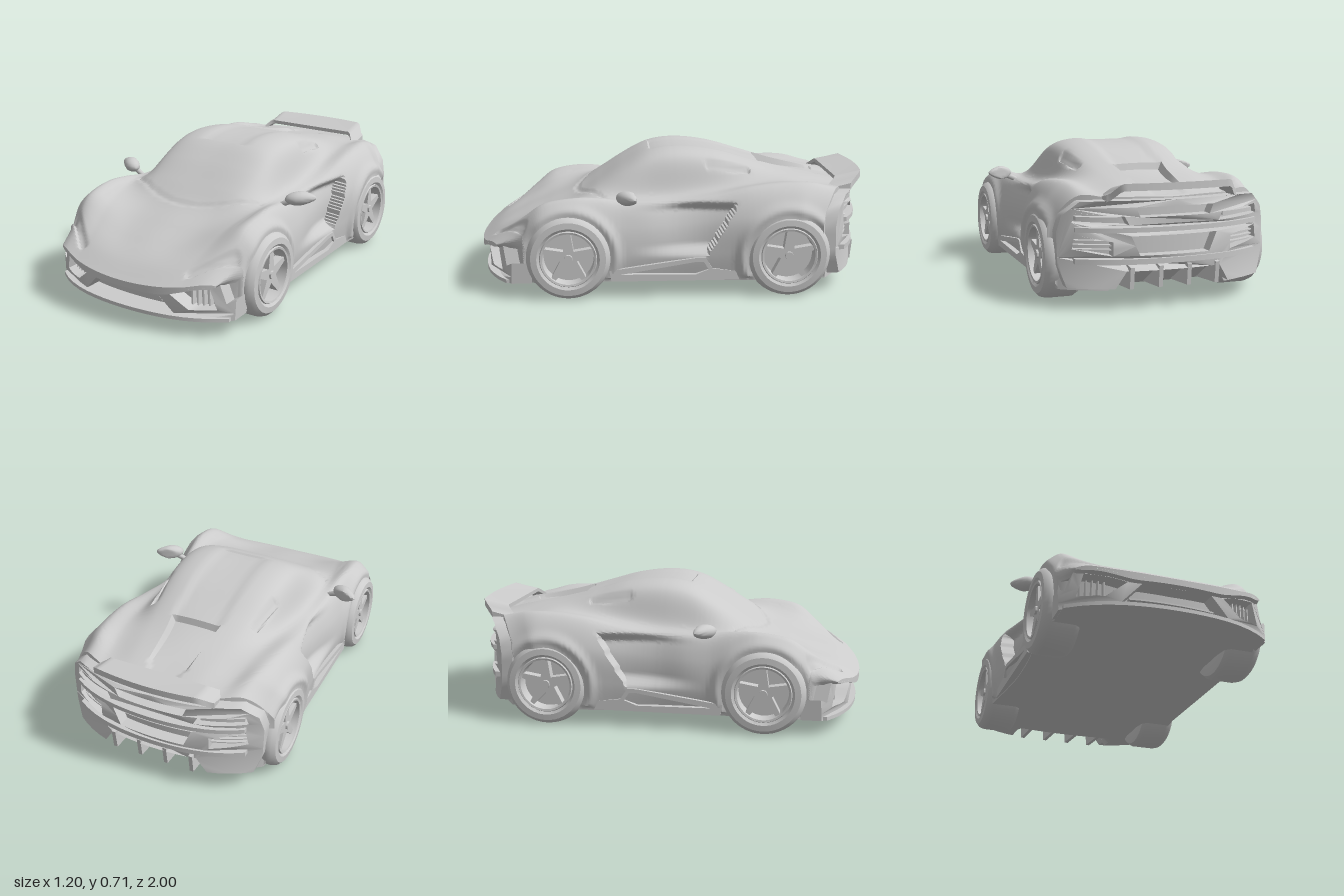
import * as THREE from 'three';
import { toCreasedNormals } from 'three/addons/utils/BufferGeometryUtils.js';

const V = (x, y, z) => new THREE.Vector3(x, y, z);
const ss = THREE.MathUtils.smoothstep;
const mat = new THREE.MeshStandardMaterial({ color: 0xcccccc });

function add(parent, name, geo, crease = 0.7) {
  const mesh = new THREE.Mesh(toCreasedNormals(geo, crease), mat);
  mesh.name = name;
  parent.add(mesh);
  return mesh;
}

// Joins closed rings of equal length into one surface
function skin(rings) {
  const n = rings[0].length, pos = [], idx = [];
  rings.forEach((ring, i) => ring.forEach((p, j) => {
    pos.push(p.x, p.y, p.z);
    if (i === rings.length - 1) return;
    const a = i * n + j, b = i * n + (j + 1) % n;
    idx.push(a, b, b + n, a, b + n, a + n);
  }));
  const geo = new THREE.BufferGeometry();
  geo.setAttribute('position', new THREE.Float32BufferAttribute(pos, 3));
  geo.setIndex(idx);
  return geo;
}

// Plan curvature of the nose and tail
const sweep = x => 0.35 * x * x + 0.9 * x ** 4;
function bend(geo, dir) {
  const p = geo.attributes.position;
  for (let i = 0; i < p.count; i++) p.setZ(i, p.getZ(i) - dir * sweep(p.getX(i)));
  return geo;
}

// z, low width, high width, shoulder x/y, cabin base x/y, roof edge x/y, top y
const STATIONS = [
  [-0.9, .52, .52, .42, .515, .3, .51, .17, .51, .505],
  [-0.75, .54, .54, .43, .55, .32, .53, .18, .545, .545],
  [-0.56, .55, .545, .45, .553, .34, .55, .2, .58, .595],
  [-0.38, .545, .54, .46, .535, .355, .54, .24, .62, .645],
  [-0.2, .525, .52, .46, .49, .365, .52, .27, .66, .69],
  [-0.02, .51, .5, .45, .46, .375, .5, .28, .675, .705],
  [0.12, .51, .5, .45, .46, .38, .49, .28, .655, .685],
  [0.25, .515, .5, .45, .465, .385, .485, .28, .595, .62],
  [0.38, .53, .52, .455, .49, .385, .48, .25, .525, .535],
  [0.5, .54, .535, .47, .495, .37, .465, .22, .455, .46],
  [0.65, .54, .535, .47, .47, .34, .43, .2, .4, .4],
  [0.78, .525, .525, .47, .415, .32, .375, .17, .35, .35],
  [0.9, .5, .5, .45, .34, .3, .315, .15, .3, .295],
  [1.0, .45, .46, .42, .272, .3, .25, .15, .235, .23],
];

function station(z) {
  const S = STATIONS, last = S.length - 1;
  let i = 0;
  while (i < last - 1 && z > S[i + 1][0]) i++;
  const h = S[i + 1][0] - S[i][0], t = (z - S[i][0]) / h;
  const slope = (k, c) => {
    const a = S[Math.max(k - 1, 0)], b = S[Math.min(k + 1, last)];
    return (b[c] - a[c]) / (b[0] - a[0]);
  };
  return S[i].map((v, c) => v * (1 + 2 * t) * (1 - t) ** 2 + S[i + 1][c] * t * t * (3 - 2 * t)
    + h * (slope(i, c) * t * (1 - t) ** 2 + slope(i + 1, c) * t * t * (t - 1)));
}

const WHEEL_Z = [0.53, -0.565];

// Strength 0..1 of a groove along a line in plan
function groove(x, z, x0, z0, x1, z1, width) {
  const dx = x1 - x0, dz = z1 - z0;
  const t = THREE.MathUtils.clamp(((x - x0) * dx + (z - z0) * dz) / (dx * dx + dz * dz), 0, 1);
  return 1 - ss(Math.hypot(x - x0 - t * dx, z - z0 - t * dz), width * 0.4, width);
}

// Carves arches, door scoops, deck channel and panel grooves into the skin
function carve(p) {
  const side = Math.sign(p.x);
  let x = Math.abs(p.x);
  const { y, z } = p;
  if (x > 0.4 && y < 0.5) {
    const edge = -0.19 - (y - 0.27) * 0.6;
    if (z > edge) x -= 0.07 * (1 - ss(z, -0.2, 0.25)) * ss(y, 0.2, 0.26) * (1 - ss(y, 0.42, 0.48));
    for (const wz of WHEEL_Z) {
      const d = Math.hypot(y - 0.21, z - wz);
      if (d < 0.175) x = Math.min(x, 0.42);
      else if (y > 0.1) x += 0.016 * Math.exp(-(((d - 0.235) / 0.025) ** 2));
    }
  }
  if (y > 0.25) {
    if (z < -0.47 && z > -0.87 && x < 0.115 + (z + 0.47) * 0.08) p.y -= 0.04 * (1 - ss(-z, 0.47, 0.95));
    else if (z >= -0.47 && z < 0.12) p.y -= 0.01 * (1 - ss(x, 0.11, 0.14));
    p.y -= 0.018 * groove(x, z, 0.32, 0.89, 0.48, 0.75, 0.025);
    p.y -= 0.02 * groove(x, z, 0.3, -0.18, 0.28, -0.38, 0.02);
    if (x < 0.38 && Math.abs(z - 0.5 + x * x) < 0.012) p.y -= 0.006;
  }
  p.x = side * x;
  return p;
}

function bodyRing(z) {
  const [, wl, wh, ws, ys, wc, yc, wr, yr, yt] = station(z);
  const beak = z > 0.885;
  const yb = beak ? 0.25 : 0.08;
  const mix = t => yb + (ys - yb) * t;
  const half = [[wl - 0.02, yb], [wl, mix(0.35)], [wh, mix(0.72)], [ws, ys], [wc, yc], [wr, yr]];
  const pts = [...half, [0, yt], ...half.map(([x, y]) => [-x, y]).reverse()].map(([x, y]) => V(x, y, 0));
  const ring = new THREE.CatmullRomCurve3(pts).getPoints(144);
  const w = wl - 0.02;
  for (let k = 1; k < 24; k++) {
    const x = w * (k / 12 - 1), a = Math.abs(x);
    const y = beak ? 0.2 + 0.05 * ss(a, 0.18, 0.43)
      : 0.08 + Math.max(0, -0.75 - z) * 0.6 * (1 - ss(a, 0.24, 0.28));
    ring.push(V(x, y, 0));
  }
  const curve = ss(z, 0.6, 0.95) - ss(-z, 0.55, 0.9);
  return ring.map(p => carve(V(p.x, p.y, z - curve * sweep(p.x))));
}

function buildBody(car) {
  const rings = [];
  for (let i = 0; i <= 190; i++) rings.push(bodyRing(-0.9 + i * 0.01));
  rings.unshift(rings[0].map(p => V(p.x, 0.3, p.z)));
  rings.push(rings[190 + 1].map(p => V(p.x, 0.218 + 0.04 * ss(Math.abs(p.x), 0.18, 0.43), p.z)));
  add(car, 'body', skin(rings), 0.75);
}

// Outline helpers: mirror a half outline, flip a side outline, add points along edges
const mirrorHalf = half => [...half, ...half.filter(p => p[0] > 0).map(([x, y]) => [-x, y]).reverse()];
const flip = pts => pts.map(([x, y]) => [-x, y]).reverse();
const dense = pts => pts.flatMap(([x, y], i) => {
  const [u, v] = pts[(i + 1) % pts.length];
  const n = Math.max(1, Math.ceil(Math.hypot(u - x, v - y) / 0.05));
  return Array.from({ length: n }, (_, k) => new THREE.Vector2(x + (u - x) * k / n, y + (v - y) * k / n));
});

function plate(outline, holes, depth) {
  const shape = new THREE.Shape(dense(outline));
  holes.forEach(h => shape.holes.push(new THREE.Path(dense(h))));
  return new THREE.ExtrudeGeometry(shape, { depth, bevelEnabled: false });
}

function bentBar(car, name, w, h, d, x, y, z, dir) {
  add(car, name, bend(new THREE.BoxGeometry(w, h, d, 16, 1, 1).translate(x, y, z), dir));
}

function buildFront(car) {
  const outline = mirrorHalf([[0, .08], [.515, .08], [.52, .185], [.485, .165], [.46, .265],
    [.42, .262], [.3, .238], [.2, .218], [0, .212]]);
  const grille = mirrorHalf([[0, .105], [.26, .105], [.17, .2], [0, .196]]);
  const intake = [[.33, .13], [.45, .135], [.42, .247], [.3, .222], [.235, .203]];
  add(car, 'frontBumper', bend(plate(outline, [grille, intake, flip(intake)], 0.1).translate(0, 0, 0.87), 1));
  bentBar(car, 'splitter', 1.0, 0.018, 0.1, 0, 0.088, 0.935, 1);
  bentBar(car, 'grilleSlat', 0.42, 0.008, 0.02, 0, 0.15, 0.9, 1);
  for (const s of [1, -1]) for (let i = 0; i < 5; i++)
    bentBar(car, 'intakeFin', 0.006, 0.1, 0.04, s * (0.32 + i * 0.025), 0.185, 0.9, 1);
}

function buildRear(car) {
  const outline = mirrorHalf([[0, .18], [.23, .18], [.28, .1], [.48, .1], [.515, .2], [.52, .35],
    [.5, .43], [.43, .495], [.3, .502], [0, .5]]);
  const slot = mirrorHalf([[0, .425], [.17, .425], [.19, .47], [0, .47]]);
  const lamp = [[.22, .39], [.46, .4], [.45, .445], [.24, .43]];
  const vent = [[.29, .25], [.46, .28], [.45, .345], [.29, .315]];
  const plateRecess = mirrorHalf([[0, .25], [.17, .25], [.21, .34], [0, .34]]);
  const geo = plate(outline, [slot, lamp, flip(lamp), vent, flip(vent), plateRecess], 0.07);
  add(car, 'rearBumper', bend(geo.translate(0, 0, -0.96), -1));
  bentBar(car, 'rearLedge', 0.9, 0.022, 0.06, 0, 0.37, -0.945, -1);
  bentBar(car, 'lowerLedge', 0.9, 0.025, 0.06, 0, 0.225, -0.94, -1);
  for (const s of [1, -1]) {
    bentBar(car, 'tailLight', 0.19, 0.018, 0.04, s * 0.345, 0.417, -0.925, -1);
    for (let i = 0; i < 3; i++) bentBar(car, 'ventSlat', 0.16, 0.006, 0.03, s * 0.37, 0.275 + i * 0.02, -0.92, -1);
  }
  // Diffuser fins: z/y wedge turned to run lengthwise
  const fin = [[-0.75, .085], [-0.76, .12], [-0.9, .21], [-0.96, .2], [-0.95, .1]];
  for (const x of [-0.21, -0.07, 0.07, 0.21])
    add(car, 'diffuserFin', plate(fin, [], 0.02).rotateY(-Math.PI / 2).translate(x + 0.01, 0, 0));
}

function buildSpoiler(car) {
  const rings = [];
  for (let i = 0; i <= 40; i++) {
    const x = -0.32 + i * 0.016, e = Math.abs(x) / 0.32, k = ss(e, 0.8, 1);
    const zf = -0.845 + 0.06 * k, zr = -1 + 0.035 * e * e + 0.05 * k, drop = 0.055 * k;
    rings.push([V(x, .583 - drop, zr), V(x, .568 - drop, (zf + zr) / 2), V(x, .555 - drop, zf),
      V(x, .535 - drop, zf), V(x, .54 - drop, (zf + zr) / 2), V(x, .55 - drop, zr)]);
  }
  const cap = ring => ring.map(() => ring.reduce((s, p) => s.add(p), V(0, 0, 0)).divideScalar(6));
  add(car, 'spoiler', skin([cap(rings[0]), ...rings, cap(rings[40])]));
}

function buildWheel(name) {
  const wheel = new THREE.Group();
  wheel.name = name;
  const profile = [[0, -.09], [.15, -.1], [.195, -.09], [.21, -.065], [.21, .055], [.203, .08], [.185, .097],
    [.155, .1], [.142, .09], [.138, .097], [.128, .095], [.124, .03], [0, .03]];
  const tyre = new THREE.LatheGeometry(profile.map(p => new THREE.Vector2(...p)), 48);
  add(wheel, 'tyreAndRim', tyre.rotateZ(-Math.PI / 2), 0.6);
  const spoke = [[-.03, 0], [.03, 0], [.026, .035], [.012, .127], [-.012, .127], [-.026, .035]];
  for (let i = 0; i < 5; i++)
    add(wheel, 'spoke', plate(spoke, [], 0.045).rotateZ(i * Math.PI * 0.4).rotateY(Math.PI / 2).translate(0.035, 0, 0));
  add(wheel, 'hub', new THREE.CylinderGeometry(0.02, 0.026, 0.06, 20).rotateZ(-Math.PI / 2).translate(0.06, 0, 0));
  return wheel;
}

// Skirt and mirror for the left side; the right side is flipped
function buildSide(car, s) {
  const side = new THREE.Group();
  side.name = s > 0 ? 'leftSide' : 'rightSide';
  side.scale.x = s;
  const skirt = [[.32, .085], [.33, .14], [-.1, .2], [-.15, .2], [-.185, .145], [-.3, .13], [-.32, .085]];
  const recess = [[.27, .12], [-.1, .18], [-.14, .18], [-.165, .14], [-.1, .115]];
  add(side, 'sideSkirt', plate(skirt, [recess], 0.045).rotateY(-Math.PI / 2).translate(0.525, 0, 0));
  const shell = new THREE.SphereGeometry(1, 16, 10);
  const p = shell.attributes.position;
  for (let i = 0; i < p.count; i++) {
    const x = p.getX(i), taper = 1 - 0.35 * Math.max(0, x);
    p.setXYZ(i, 0.53 + 0.07 * x, 0.507 + 0.036 * p.getY(i) * taper + 0.004 * x,
      0.235 - 0.03 * x + 0.05 * Math.max(p.getZ(i), -0.6) * taper);
  }
  add(side, 'mirrorShell', shell, 0.8);
  const stalk = new THREE.CatmullRomCurve3([V(0.42, 0.455, 0.26), V(0.455, 0.475, 0.255), V(0.5, 0.495, 0.245)]);
  add(side, 'mirrorStalk', new THREE.TubeGeometry(stalk, 8, 0.014, 8), 0.9);
  car.add(side);
}

export function createModel() {
  const car = new THREE.Group();
  car.name = 'sportsCar';
  buildBody(car);
  buildFront(car);
  buildRear(car);
  buildSpoiler(car);
  for (const s of [1, -1]) {
    buildSide(car, s);
    WHEEL_Z.forEach((z, i) => {
      const wheel = buildWheel((i ? 'rear' : 'front') + (s > 0 ? 'Left' : 'Right') + 'Wheel');
      wheel.position.set(s * 0.46, 0.21, z);
      if (s < 0) wheel.rotation.y = Math.PI;
      car.add(wheel);
    });
  }
  return car;
}
